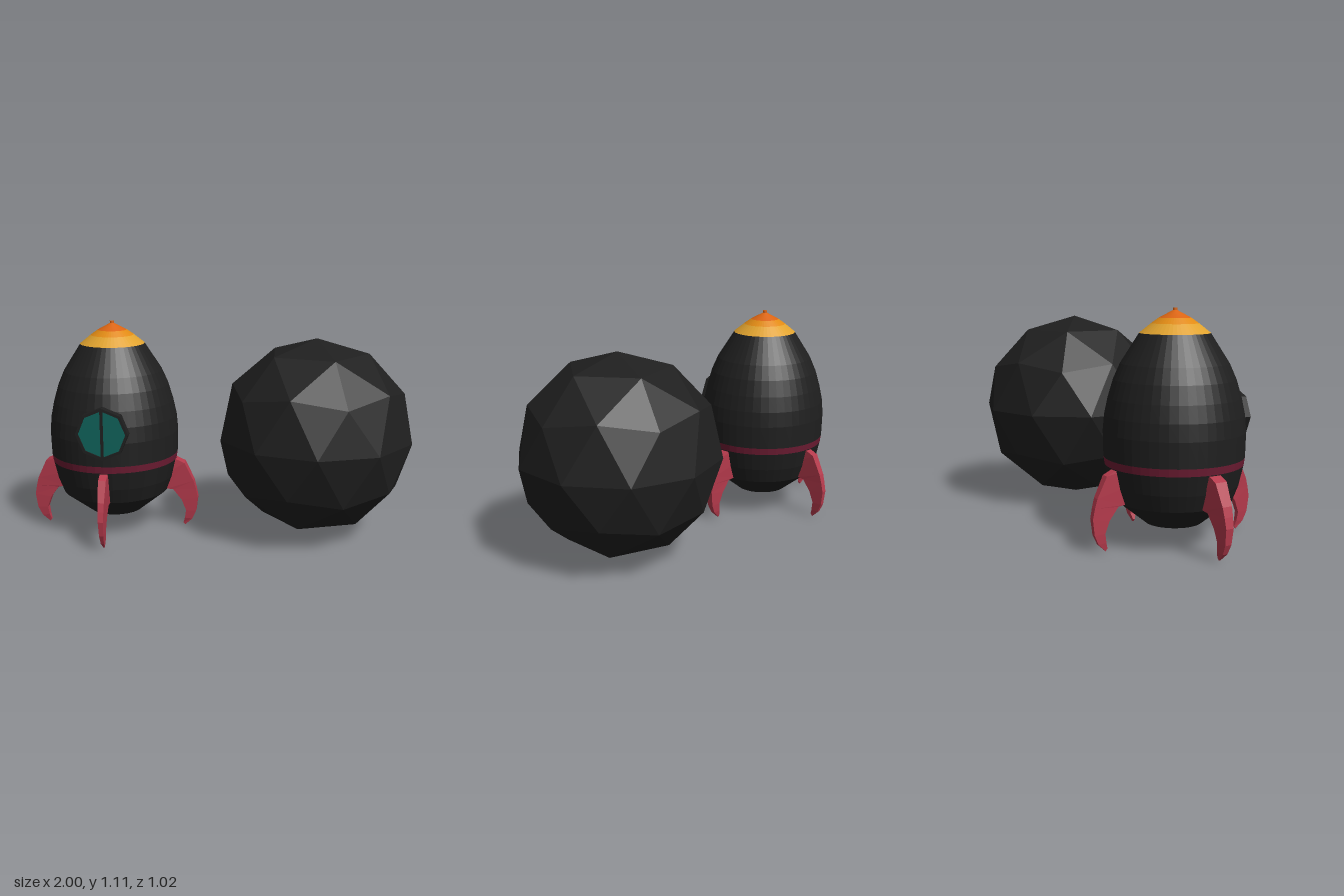
import * as THREE from 'three';

const paint = (name, color) => {
  const m = new THREE.MeshStandardMaterial({ color });
  m.name = name;
  return m;
};

// Faceted normals
function flat(geometry) {
  const g = geometry.index ? geometry.toNonIndexed() : geometry;
  g.computeVertexNormals();
  return g;
}

function add(parent, name, geometry, material) {
  const mesh = new THREE.Mesh(geometry, material);
  mesh.name = name;
  parent.add(mesh);
  return mesh;
}

// Surface of revolution from [radius, height] pairs, bottom to top
const turned = (points) =>
  flat(new THREE.LatheGeometry(points.map(([r, y]) => new THREE.Vector2(r, y)), 48));

// Curved leg lofted from sections: [outer r, outer y, inner r, inner y, half width]
function finGeometry(thickness) {
  const sections = [
    [0.334, 0.38, 0.27, 0.38, 0.036],
    [0.377, 0.36, 0.27, 0.3, 0.036],
    [0.425, 0.26, 0.28, 0.215, 0.03],
    [0.437, 0.215, 0.315, 0.21, 0.027],
    [0.447, 0.165, 0.36, 0.15, 0.024],
    [0.437, 0.088, 0.382, 0.09, 0.02],
    [0.415, 0.04, 0.375, 0.045, 0.015],
    [0.375, 0.003, 0.366, 0.016, 0.006],
  ];
  const pos = [], idx = [];
  for (const [ro, yo, ri, yi, half] of sections) {
    const w = half * thickness;
    pos.push(ro, yo, w * 0.85, ro, yo, -w * 0.85, ri, yi, -w, ri, yi, w);
  }
  for (let s = 0; s < sections.length - 1; s++) {
    for (let k = 0; k < 4; k++) {
      const a = s * 4 + k, b = s * 4 + ((k + 1) % 4);
      idx.push(a, a + 4, b, b, a + 4, b + 4);
    }
  }
  const e = (sections.length - 1) * 4;
  idx.push(0, 1, 2, 0, 2, 3, e, e + 2, e + 1, e, e + 3, e + 2);
  const g = new THREE.BufferGeometry();
  g.setAttribute('position', new THREE.Float32BufferAttribute(pos, 3));
  g.setIndex(idx);
  return flat(g);
}

export function createModel() {
  const model = new THREE.Group();
  model.name = 'rocketAndMoon';

  const black = paint('hull black', 0x1f1f1f);
  const red = paint('fin red', 0xb53a4c);
  const maroon = paint('band maroon', 0x6e1c33);
  const teal = paint('window teal', 0x0f625a);
  const yellow = paint('nose yellow', 0xe0a22e);
  const amber = paint('nose amber', 0xe08a14);
  const orange = paint('nose orange', 0xda6412);

  // Faceted moon, turned so that corners sit at its poles
  const moonShape = new THREE.IcosahedronGeometry(0.51, 1);
  moonShape.rotateZ(Math.PI / 2 - Math.atan((1 + Math.sqrt(5)) / 2));
  moonShape.rotateY(Math.PI);
  add(model, 'moon', flat(moonShape), black).position.set(0.51, 0.53, 0);

  const rocket = new THREE.Group();
  rocket.name = 'rocket';
  rocket.position.set(-0.556, 0, -0.025);
  model.add(rocket);

  // Hull, with a shallow recess underneath
  add(rocket, 'lowerHull', turned([
    [0, 0.12], [0.115, 0.12], [0.12, 0.097], [0.137, 0.097], [0.28, 0.21], [0.31, 0.29], [0.331, 0.384],
  ]), black);
  add(rocket, 'hullBand', turned([[0.331, 0.384], [0.336, 0.42]]), maroon);
  add(rocket, 'upperHull', turned([
    [0.336, 0.42], [0.339, 0.54], [0.332, 0.62], [0.315, 0.7], [0.29, 0.785], [0.257, 0.86], [0.168, 1.0],
  ]), black);

  // Nose cone in three coloured rings with a small tip
  add(rocket, 'noseLowerRing', turned([[0.168, 1.0], [0.112, 1.045]]), yellow);
  add(rocket, 'noseMiddleRing', turned([[0.112, 1.045], [0.075, 1.071]]), amber);
  add(rocket, 'noseTip', turned([
    [0.075, 1.071], [0.011, 1.105], [0.011, 1.117], [0, 1.117],
  ]), orange);

  // Four legs, the side pair thicker than the front and back pair
  for (let i = 0; i < 4; i++) {
    const fin = add(rocket, 'fin' + (i + 1), finGeometry(i % 2 ? 0.65 : 1), red);
    fin.rotation.y = i * Math.PI / 2;
  }

  // Octagonal window on the front
  const porthole = new THREE.Group();
  porthole.name = 'window';
  porthole.position.set(0, 0.593, 0);
  rocket.add(porthole);
  const octagon = (r) => Array.from({ length: 8 }, (_, i) =>
    new THREE.Vector2(r * Math.cos(i * Math.PI / 4), r * Math.sin(i * Math.PI / 4)));
  const ring = new THREE.Shape(octagon(0.134));
  ring.holes.push(new THREE.Path(octagon(0.12)));
  const frame = new THREE.ExtrudeGeometry(ring, { depth: 0.05, bevelEnabled: false });
  add(porthole, 'windowFrame', frame, black).position.z = 0.303;
  add(porthole, 'windowPane', new THREE.CircleGeometry(0.125, 8), teal).position.z = 0.345;
  add(porthole, 'windowBar', new THREE.BoxGeometry(0.014, 0.246, 0.012), black).position.z = 0.347;

  return model;
}
